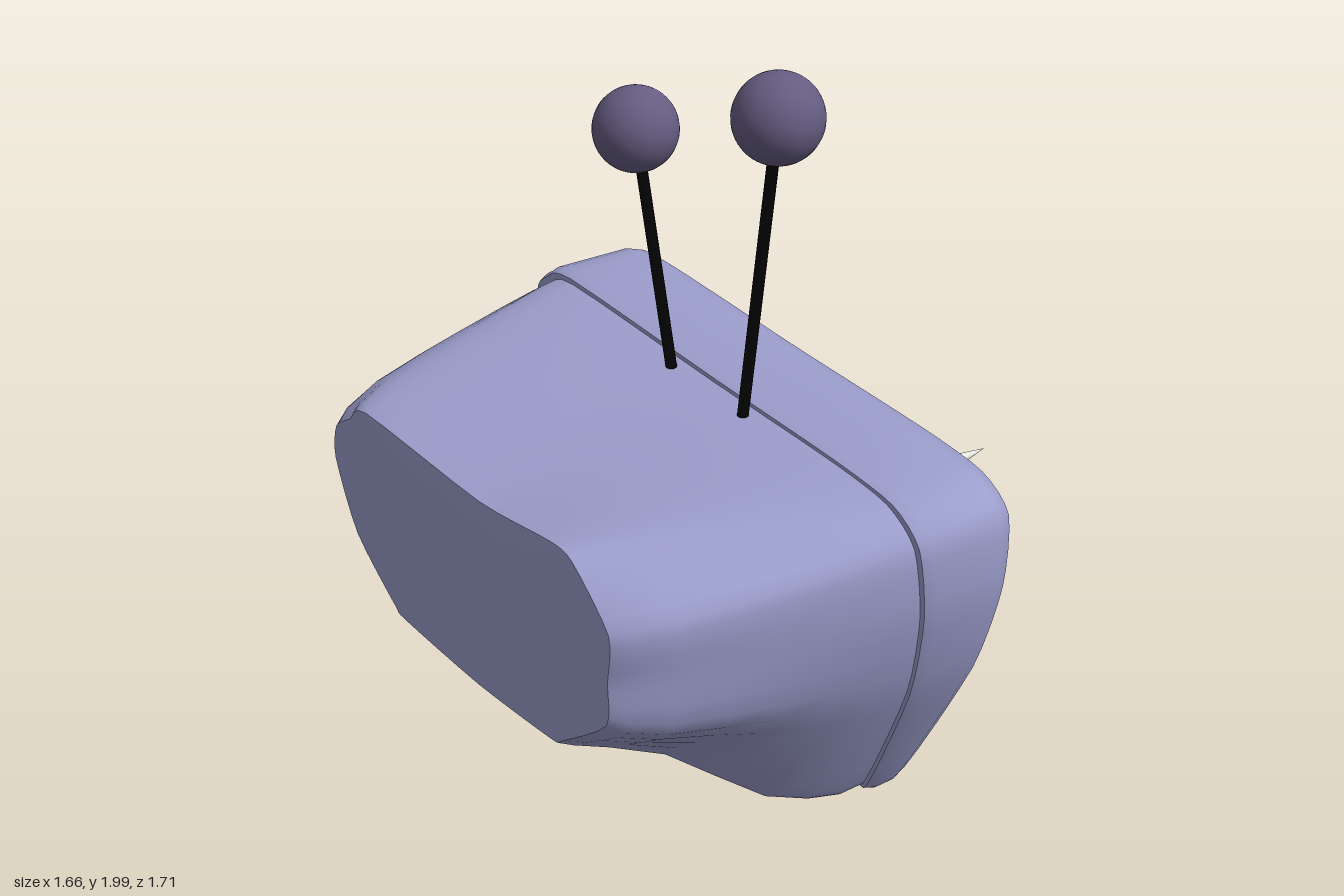
import * as THREE from 'three';
import { toCreasedNormals } from 'three/addons/utils/BufferGeometryUtils.js';

const material = (name, color, side = THREE.FrontSide) => {
  const m = new THREE.MeshStandardMaterial({ color, side });
  m.name = name;
  return m;
};

// Matching outlines, clockwise from the upper -x corner
const FRAME = [[-.83, 1.08], [-.78, 1.14], [-.66, 1.175], [0, 1.11], [.5, 1.065], [.72, 1.03], [.82, .95], [.82, .75],
  [.74, .48], [.52, .07], [.45, .035], [.05, .005], [-.4, .045], [-.45, .1], [-.7, .48], [-.81, .82]];
const FRONT_END = [[-.66, .93], [-.58, .98], [-.49, 1.03], [.05, 1], [.36, 1.025], [.45, 1.01], [.59, .88], [.58, .75],
  [.57, .63], [.38, .49], [.33, .47], [0, .46], [-.36, .48], [-.41, .5], [-.59, .64], [-.68, .83]];
const OPENING = [[-.58, .9], [-.575, .925], [-.55, .935], [.03, .88], [.5, .835], [.59, .825], [.62, .8], [.6, .71],
  [.51, .47], [.41, .175], [.35, .13], [.02, .135], [-.29, .14], [-.335, .165], [-.44, .47], [-.55, .79]];

const mix = (a, b, tAt) => a.map(([x, y], i) => {
  const t = typeof tAt === 'function' ? tAt(i) : tAt;
  return [x + (b[i][0] - x) * t, y + (b[i][1] - y) * t];
});
const scaled = (a, s) => a.map(([x, y]) => [x * s, .6 + (y - .6) * s]);

// Closed ring through an outline; z is a number or a function of y
function ring(outline, z) {
  const zAt = typeof z === 'function' ? z : () => z;
  const pts = outline.map(([x, y]) => new THREE.Vector3(x, y, zAt(y)));
  return new THREE.CatmullRomCurve3(pts, true, 'catmullrom', .35).getPoints(64).slice(0, 64);
}

function loft(rings, crease) {
  const n = rings[0].length, index = [];
  for (let i = 0; i < rings.length - 1; i++) {
    for (let j = 0; j < n; j++) {
      const k = (j + 1) % n;
      const a = i * n + j, b = i * n + k, c = a + n, d = b + n;
      index.push(a, b, c, b, d, c);
    }
  }
  const g = new THREE.BufferGeometry().setFromPoints(rings.flat());
  g.setIndex(index);
  return toCreasedNormals(g, crease);
}

export function createModel() {
  const model = new THREE.Group();
  const shell = material('lavender shell', 0x9a9cca);
  const glass = material('pale grey screen', 0xe4e7df, THREE.DoubleSide);
  const pale = material('pale cone', 0xe4e6de);
  const black = material('black rod', 0x030303);
  const plum = material('plum ball', 0x655c81);
  const violet = material('violet spot', 0x927dcd);

  const add = (name, geometry, mat, parent = model) => {
    const mesh = new THREE.Mesh(geometry, mat);
    mesh.name = name;
    parent.add(mesh);
    return mesh;
  };

  // Tapered housing: z, then growth of the top, the sides and the underside
  const center = Array.from({ length: 64 }, () => new THREE.Vector3(-.03, .76, .845));
  const sections = [[.84, 0, 0, 0], [.8, .06, .16, .05], [.7, .19, .36, .15], [.55, .38, .54, .32], [.42, .56, .68, .56],
    [.28, .75, .82, .81], [.15, .92, .94, .94], [.05, 1, 1, 1], [-.12, 1, 1, 1]];
  const growth = (top, side, under) => (i) => (i >= 2 && i <= 5 ? top : i >= 9 && i <= 13 ? under : side);
  add('housing', loft([center, ...sections.map(([z, ...t]) =>
    ring(mix(FRONT_END, scaled(FRAME, .97), growth(...t)), z))], .8), shell);

  // Rounded screen frame, deeper at the top than at the bottom
  const lip = (y) => -.04 + .14 * Math.min(1, Math.max(0, y / .95)) ** .8;
  const back = (y) => -.175 - .04 * Math.min(1, Math.max(0, y / .9));
  add('screenFrame', loft([
    ring(scaled(FRAME, .94), lip),
    ring(scaled(FRAME, .985), lip),
    ring(FRAME, (y) => lip(y) - .03),
    ring(FRAME, (y) => back(y) + .06),
    ring(scaled(FRAME, .985), (y) => back(y) + .025),
    ring(mix(FRAME, OPENING, .22), (y) => back(y) + .004),
    ring(mix(FRAME, OPENING, .5), back),
    ring(mix(FRAME, OPENING, .82), (y) => back(y) + .005),
    ring(OPENING, (y) => back(y) + .015),
    ring(OPENING, -.13),
  ], 1.1), shell);

  // Screen
  const panel = new THREE.ShapeGeometry(new THREE.Shape(scaled(OPENING, 1.05).map(([x, y]) => new THREE.Vector2(x, y))));
  add('screen', panel, glass).position.z = -.162;

  // Rod-like parts aligned between two points
  const between = (mesh, a, b) => {
    mesh.position.copy(a).add(b).multiplyScalar(.5);
    mesh.quaternion.setFromUnitVectors(new THREE.Vector3(0, 1, 0), b.clone().sub(a).normalize());
  };

  // Pointed nose
  const base = new THREE.Vector3(.035, .575, -.155), tip = new THREE.Vector3(.03, .617, -.86);
  between(add('nose', new THREE.ConeGeometry(.119, base.distanceTo(tip), 40), pale), base, tip);

  // Crescent mouth outline
  const mouth = [[.29, .46], [.275, .39], [.2, .35], [.06, .35], [-.09, .39], [-.17, .445], [-.23, .535],
    [-.235, .435], [-.17, .325], [-.07, .255], [.05, .232], [.16, .255], [.25, .32], [.292, .395]];
  const path = new THREE.CatmullRomCurve3(mouth.map(([x, y]) => new THREE.Vector3(x, y, -.175)), true);
  add('mouth', new THREE.TubeGeometry(path, 90, .017, 8, true), shell);

  // Antennas with a violet spot on each ball
  const spotDir = new THREE.Vector3(-.13, .66, -.74).normalize();
  const spotAngle = .52, r = .112;
  for (const [name, x0, y0, x1, y1] of [['right', -.11, 1.05, -.26, 1.71], ['left', .175, 1.03, .317, 1.888]]) {
    const antenna = new THREE.Group();
    antenna.name = name + 'Antenna';
    model.add(antenna);
    const a = new THREE.Vector3(x0, y0, .14), b = new THREE.Vector3(x1, y1, .14);
    between(add('rod', new THREE.CylinderGeometry(.015, .015, a.distanceTo(b), 12), black, antenna), a, b);
    const ball = add('ball', new THREE.SphereGeometry(r, 32, 24, 0, Math.PI * 2, spotAngle, Math.PI - spotAngle), plum, antenna);
    const spot = add('ballSpot', new THREE.SphereGeometry(r, 32, 8, 0, Math.PI * 2, 0, spotAngle), violet, antenna);
    for (const part of [ball, spot]) {
      part.position.copy(b);
      part.quaternion.setFromUnitVectors(new THREE.Vector3(0, 1, 0), spotDir);
    }
  }
  return model;
}
